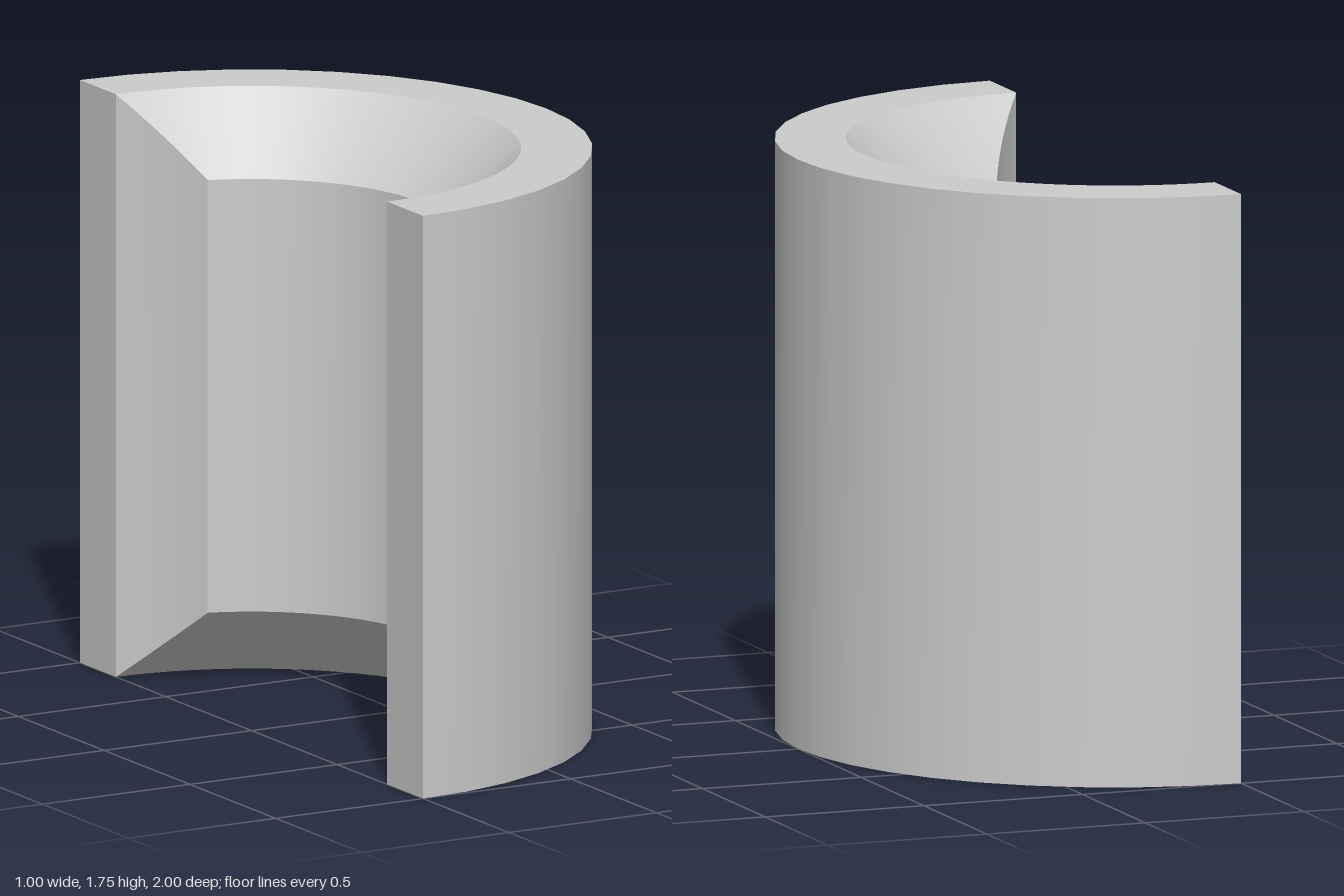
import * as THREE from 'three';

const H = 1.755, SEGS = 40, CX = -0.5, SLOPE = 0.98;
const material = new THREE.MeshStandardMaterial({ color: 0xcccccc });

// Surface through rows of points, smooth inside the patch and sharp at its borders
function patch(name, rows) {
  const cols = rows[0].length, index = [];
  for (let i = 0; i < rows.length - 1; i++) {
    for (let j = 0; j < cols - 1; j++) {
      const a = i * cols + j, d = a + cols;
      index.push(a, a + 1, d + 1, a, d + 1, d);
    }
  }
  const geometry = new THREE.BufferGeometry().setFromPoints(rows.flat());
  geometry.setIndex(index);
  geometry.computeVertexNormals();
  const mesh = new THREE.Mesh(geometry, material);
  mesh.name = name;
  return mesh;
}

// Arc around the bore axis ending at +-angle; the outer wall has half as many sides
function arc(r, angle, y, coarse = false) {
  return Array.from({ length: SEGS + 1 }, (_, j) => {
    const a = angle * (2 * j / SEGS - 1);
    const k = coarse && j % 2 ? r * Math.cos(2 * angle / SEGS) : r;
    return new THREE.Vector3(CX + k * Math.cos(a), y, k * Math.sin(a));
  });
}

export function createModel() {
  const group = new THREE.Group();
  group.name = 'halfBushing';

  // Plan curve of the relieved end, from the rim in to the bore
  const endCurve = new THREE.QuadraticBezierCurve(
    new THREE.Vector2(0, 0.79), new THREE.Vector2(0.1, 0.675), new THREE.Vector2(0.163, 0.535));
  const ends = endCurve.getPoints(8);
  const rimRadius = ends[0].length();
  const stations = ends.map((p) => ({
    r: p.length(),
    angle: Math.atan2(p.y, p.x),
    drop: (rimRadius - p.length()) * SLOPE,
  }));
  const topRows = stations.map((s) => arc(s.r, s.angle, H - s.drop)).reverse();
  const bottomRows = stations.map((s) => arc(s.r, s.angle, s.drop));
  const outerTop = arc(1, Math.PI / 2, H, true);
  const outerBottom = arc(1, Math.PI / 2, 0, true);

  group.add(
    patch('bore', [bottomRows.at(-1), topRows[0]]),
    patch('topChamfer', topRows),
    patch('topRim', [topRows.at(-1), outerTop]),
    patch('outerWall', [outerTop, outerBottom]),
    patch('bottomRim', [outerBottom, bottomRows[0]]),
    patch('bottomChamfer', bottomRows),
  );

  // Flat and relieved faces at both open ends
  for (const side of [1, -1]) {
    const column = (x, z, drop) => [
      new THREE.Vector3(CX + x, drop, side * z), new THREE.Vector3(CX + x, H - drop, side * z)];
    const flat = [column(0, 1, 0), column(0, rimRadius, 0)];
    const relief = ends.map((p, i) => column(p.x, p.y, stations[i].drop));
    if (side < 0) {
      flat.reverse();
      relief.reverse();
    }
    const label = side > 0 ? 'front' : 'back';
    group.add(patch(label + 'EndFace', flat), patch(label + 'EndRelief', relief));
  }
  return group;
}
